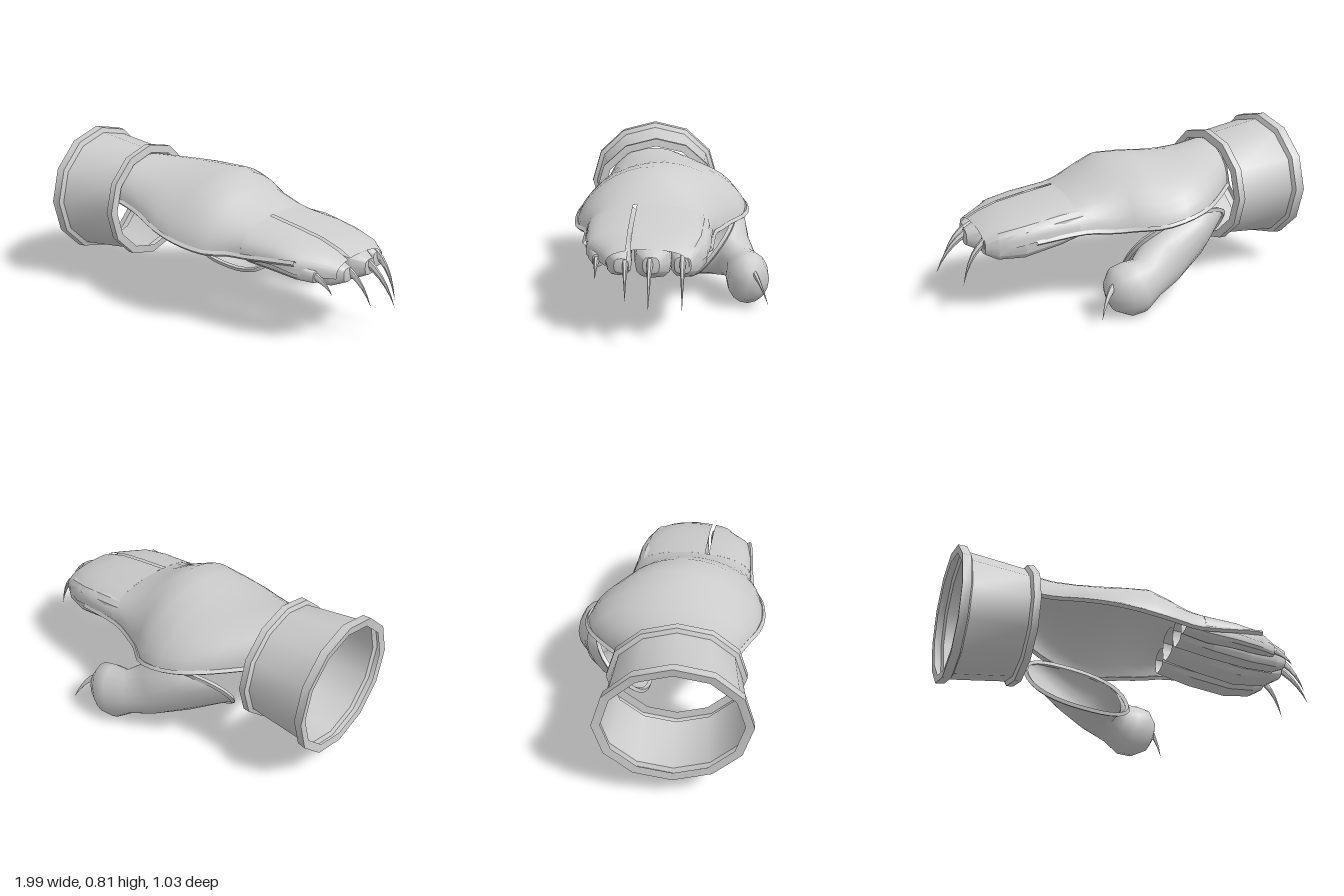
import * as THREE from 'three';
import { toCreasedNormals } from 'three/addons/utils/BufferGeometryUtils.js';

const V = (x, y, z) => new THREE.Vector3(x, y, z);

// Skin a list of equal-length point rows; closed joins each row into a ring
function loft(rows, closed, crease = 0.8) {
  const n = rows[0].length, pos = [], idx = [];
  rows.forEach(r => r.forEach(p => pos.push(p.x, p.y, p.z)));
  for (let i = 0; i < rows.length - 1; i++) {
    for (let j = 0; j < (closed ? n : n - 1); j++) {
      const k = (j + 1) % n;
      const a = i * n + j, b = a + n, c = i * n + k, d = c + n;
      idx.push(a, c, b, c, d, b);
    }
  }
  const g = new THREE.BufferGeometry();
  g.setAttribute('position', new THREE.Float32BufferAttribute(pos, 3));
  g.setIndex(idx);
  return toCreasedNormals(g, crease);
}

// Ring of n points around c, spanned by vectors u and v; e < 1 makes it boxier
function ring(c, u, v, n, e = 1) {
  const bend = s => Math.sign(s) * Math.pow(Math.abs(s), e);
  return Array.from({ length: n }, (_, j) => {
    const t = (j / n) * Math.PI * 2;
    return c.clone().addScaledVector(u, bend(Math.cos(t))).addScaledVector(v, bend(Math.sin(t)));
  });
}

// Part of an arched cross-section, from z0 (back) to z1 (front)
function arch([x, zf, zb, edge, top, p], z0 = zb, z1 = zf) {
  const c = (zf + zb) / 2, w = (zf - zb) / 2;
  const t0 = Math.acos((c - z0) / w), t1 = Math.acos((c - z1) / w);
  return Array.from({ length: 19 }, (_, j) => {
    const t = t0 + (t1 - t0) * j / 18;
    const y = edge + (top - edge) * Math.pow(Math.max(0, Math.sin(t)), p);
    return V(x, y, c - w * Math.cos(t));
  });
}

export function createModel() {
  const group = new THREE.Group();
  const grey = new THREE.MeshStandardMaterial({ color: 0xcccccc, side: THREE.DoubleSide });
  grey.name = 'pale grey';
  const add = (name, geometry) => {
    const m = new THREE.Mesh(geometry, grey);
    m.name = name;
    group.add(m);
  };
  // Thin four-sided edging along a list of points
  const trim = (name, points, closed = false) => {
    const curve = new THREE.CatmullRomCurve3(points, closed, 'centripetal');
    const g = new THREE.TubeGeometry(curve, points.length * 2, 0.014, 4, closed);
    add(name, toCreasedNormals(g, 0.5));
  };

  // Cuff: slanted open sleeve with a raised band at each end [x, y, z, ry, rz]
  const cuff = [
    [-0.955, 0.467, 0.135, 0.305, 0.335], [-0.96, 0.467, 0.135, 0.348, 0.378],
    [-0.915, 0.467, 0.135, 0.345, 0.373], [-0.905, 0.465, 0.133, 0.32, 0.35],
    [-0.61, 0.457, 0.112, 0.285, 0.32], [-0.60, 0.457, 0.11, 0.307, 0.343],
    [-0.565, 0.457, 0.11, 0.307, 0.343], [-0.56, 0.457, 0.11, 0.265, 0.3],
  ].map(([x, y, z, ry, rz]) =>
    ring(V(x, y, z), V(-rz * 0.1, 0, -rz), V(0, ry, 0), 12));
  add('cuff', loft(cuff, true));

  // Hand back: arched shell, open below [x, front z, back z, edge y, top y, arch power]
  const palm = [
    [-0.58, 0.37, -0.13, 0.515, 0.71, 0.9], [-0.45, 0.39, -0.26, 0.495, 0.70, 1.1],
    [-0.33, 0.43, -0.36, 0.48, 0.695, 1.2], [-0.20, 0.475, -0.40, 0.455, 0.70, 1.35],
    [-0.07, 0.495, -0.39, 0.43, 0.71, 1.4], [0.05, 0.49, -0.31, 0.41, 0.705, 1.3],
    [0.15, 0.47, -0.265, 0.40, 0.65, 1.2], [0.25, 0.42, -0.235, 0.405, 0.59, 0.9],
    [0.32, 0.41, -0.228, 0.405, 0.56, 0.75],
  ];
  const hand = palm.map(s => arch(s));
  add('handBack', loft(hand, false, 1.2));
  trim('backEdge', [...hand.map(r => r[0]), V(0.55, 0.385, -0.215)]);
  trim('frontEdge', [...hand.map(r => r[18]), V(0.5, 0.42, 0.395), V(0.63, 0.43, 0.38)]);

  // Finger backs: the hand shell carried on, parted by a slit
  const knuckles = [
    palm[palm.length - 1], [0.5, 0.395, -0.223, 0.40, 0.53, 0.65],
    [0.63, 0.38, -0.205, 0.375, 0.505, 0.65], [0.73, 0.30, -0.165, 0.36, 0.475, 0.65],
    [0.795, 0.27, -0.12, 0.36, 0.44, 0.65],
  ];
  add('fingerBacksInner', loft(knuckles.map(s => arch(s, s[2], 0.155)), false, 1.2));
  add('fingerBacksOuter', loft(knuckles.map(s => arch(s, 0.175, s[1])), false, 1.2));

  // Fingers: boxy tapering lofts [x, y, z, half width, half height]
  const fingers = {
    indexFinger: [[0.22, 0.455, -0.125, 0.08, 0.06], [0.4, 0.425, -0.13, 0.088, 0.085],
      [0.6, 0.385, -0.12, 0.085, 0.09], [0.73, 0.37, -0.1, 0.07, 0.075], [0.79, 0.365, -0.09, 0.04, 0.04]],
    middleFinger: [[0.22, 0.475, 0.05, 0.1, 0.08], [0.4, 0.435, 0.05, 0.105, 0.09],
      [0.6, 0.395, 0.05, 0.102, 0.1], [0.77, 0.375, 0.05, 0.085, 0.075], [0.84, 0.375, 0.055, 0.04, 0.04]],
    ringFinger: [[0.22, 0.46, 0.23, 0.08, 0.07], [0.4, 0.425, 0.235, 0.073, 0.085],
      [0.6, 0.39, 0.23, 0.068, 0.085], [0.75, 0.37, 0.21, 0.06, 0.065], [0.81, 0.365, 0.195, 0.035, 0.035]],
    littleFinger: [[0.22, 0.44, 0.35, 0.05, 0.035], [0.35, 0.42, 0.345, 0.055, 0.05],
      [0.5, 0.405, 0.34, 0.048, 0.05], [0.62, 0.385, 0.33, 0.045, 0.045], [0.71, 0.365, 0.315, 0.025, 0.03]],
  };
  for (const [name, list] of Object.entries(fingers)) {
    const rows = list.map(([x, y, z, w, h]) => ring(V(x, y, z), V(0, 0, -w), V(0, h, 0), 12, 0.7));
    const [ex, ey, ez] = list[list.length - 1];
    rows.push(rows[0].map(() => V(ex + 0.01, ey, ez)));
    add(name, loft(rows, true, 0.6));
  }

  // Thumb: wide funnel narrowing to a rounded tip [centre, side axis, up axis]
  const thumb = [
    [[-0.22, 0.28, -0.205], [-0.275, 0.04, 0.025], [-0.03, 0.17, -0.13]],
    [[-0.16, 0.265, -0.29], [-0.19, 0.03, -0.05], [-0.01, 0.155, -0.08]],
    [[-0.06, 0.215, -0.34], [-0.1, 0, -0.08], [0.03, 0.125, -0.02]],
    [[0.03, 0.17, -0.38], [-0.05, 0, -0.085], [0.03, 0.11, 0]],
    [[0.11, 0.145, -0.405], [-0.03, 0, -0.112], [0.04, 0.137, 0]],
    [[0.18, 0.132, -0.41], [-0.02, 0, -0.108], [0.04, 0.132, 0]],
    [[0.235, 0.12, -0.41], [-0.01, 0, -0.07], [0.02, 0.085, 0]],
    [[0.262, 0.115, -0.41], [0, 0, 0], [0, 0, 0]],
  ].map(([c, u, v], i) => ring(V(...c), V(...u), V(...v), 16, i < 2 ? 0.8 : 1));
  add('thumb', loft(thumb, true, 1.2));
  trim('thumbOpeningEdge', thumb[0], true);

  // Claws: curved spikes from base through a bend to the tip
  const claws = {
    indexClaw: [V(0.74, 0.41, -0.09), V(0.86, 0.37, -0.09), V(0.90, 0.17, -0.09)],
    middleClaw: [V(0.79, 0.41, 0.06), V(0.92, 0.37, 0.06), V(0.995, 0.2, 0.06)],
    ringClaw: [V(0.75, 0.40, 0.18), V(0.87, 0.37, 0.175), V(0.93, 0.22, 0.17)],
    littleClaw: [V(0.66, 0.38, 0.32), V(0.76, 0.365, 0.32), V(0.81, 0.295, 0.32)],
    thumbClaw: [V(0.2, 0.2, -0.42), V(0.28, 0.18, -0.46), V(0.33, 0.04, -0.51)],
  };
  for (const [name, pts] of Object.entries(claws)) {
    const curve = new THREE.QuadraticBezierCurve3(...pts);
    const rows = Array.from({ length: 7 }, (_, i) => {
      const t = i / 6, r = 0.027 * (1 - t);
      const side = V(0, 0, -1);
      const up = curve.getTangent(t).cross(side).normalize();
      return ring(curve.getPoint(t), side.multiplyScalar(r * 0.75), up.multiplyScalar(r), 6);
    });
    add(name, loft(rows, true));
  }
  return group;
}
